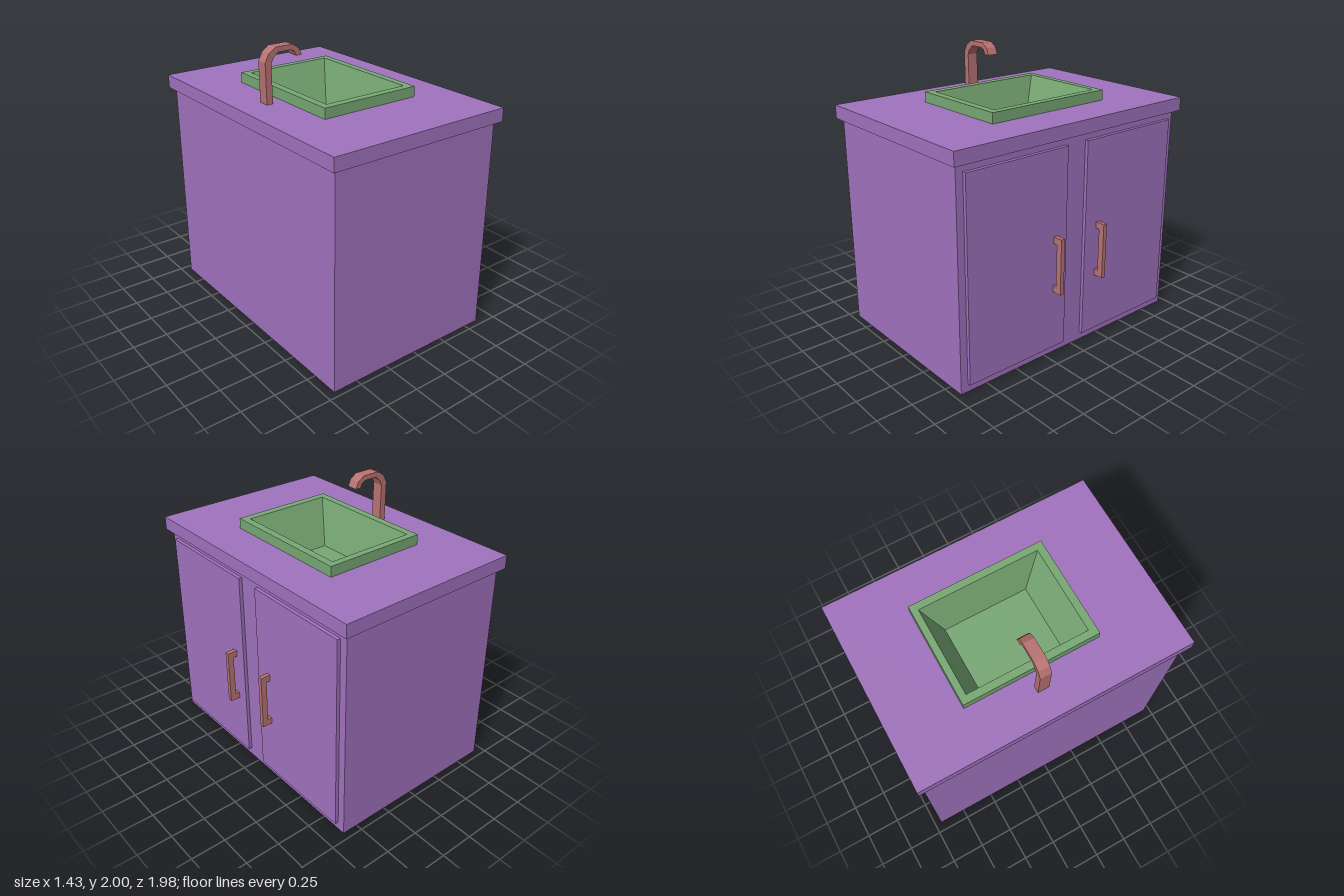
import * as THREE from 'three';

const purple = new THREE.MeshStandardMaterial({ color: 0xa072be });
const green = new THREE.MeshStandardMaterial({ color: 0x78a874 });
const red = new THREE.MeshStandardMaterial({ color: 0xb97272 });

function addMesh(parent, name, geometry, material) {
  const mesh = new THREE.Mesh(geometry, material);
  mesh.name = name;
  parent.add(mesh);
  return mesh;
}

// Box given by its minimum and maximum corners
function boxBetween([x0, y0, z0], [x1, y1, z1]) {
  return new THREE.BoxGeometry(x1 - x0, y1 - y0, z1 - z0)
    .translate((x0 + x1) / 2, (y0 + y1) / 2, (z0 + z1) / 2);
}

const toPoints = (list) => list.map(([x, y]) => new THREE.Vector2(x, y));

// Outline in the x-y plane, extruded from z0 to z1
function profile(points, z0, z1) {
  return new THREE.ExtrudeGeometry(new THREE.Shape(toPoints(points)), { depth: z1 - z0, bevelEnabled: false })
    .translate(0, 0, z0);
}

// Rectangular slab with a rectangular opening; rectangles are [x0, x1, z0, z1]
function frame(outer, hole, y0, y1) {
  const corners = ([x0, x1, z0, z1]) => toPoints([[x0, -z1], [x1, -z1], [x1, -z0], [x0, -z0]]);
  const shape = new THREE.Shape(corners(outer));
  shape.holes.push(new THREE.Path(corners(hole).reverse()));
  return new THREE.ExtrudeGeometry(shape, { depth: y1 - y0, bevelEnabled: false })
    .rotateX(-Math.PI / 2).translate(0, y0, 0);
}

// Skin over stacked rectangular rings [x0, x1, z0, z1, y], closed at the last ring
function rectLoft(rings) {
  const positions = [], index = [];
  for (const [x0, x1, z0, z1, y] of rings) {
    positions.push(x0, y, z0, x0, y, z1, x1, y, z1, x1, y, z0);
  }
  for (let i = 0; i < rings.length - 1; i++) {
    for (let j = 0; j < 4; j++) {
      const a = i * 4 + j, b = i * 4 + (j + 1) % 4;
      index.push(a, b, b + 4, a, b + 4, a + 4);
    }
  }
  const e = (rings.length - 1) * 4;
  index.push(e, e + 1, e + 2, e, e + 2, e + 3);
  const indexed = new THREE.BufferGeometry();
  indexed.setAttribute('position', new THREE.Float32BufferAttribute(positions, 3));
  indexed.setIndex(index);
  const geometry = indexed.toNonIndexed();
  geometry.computeVertexNormals();
  return geometry;
}

export function createModel() {
  const model = new THREE.Group();
  model.name = 'sinkCabinet';

  // Hollow cabinet: base board and four walls, leaving room for the basin
  const cabinet = new THREE.Group();
  cabinet.name = 'cabinet';
  model.add(cabinet);
  addMesh(cabinet, 'cabinetBase', boxBetween([-0.65, 0, -0.92], [0.58, 0.04, 0.92]), purple);
  addMesh(cabinet, 'cabinetWalls', frame([-0.685, 0.615, -0.95, 0.955], [-0.65, 0.58, -0.92, 0.92], 0, 1.535), purple);

  // Countertop with the basin opening
  addMesh(model, 'countertop', frame([-0.72, 0.655, -0.99, 0.99], [-0.37, 0.33, -0.485, 0.455], 1.535, 1.63), purple);

  // Basin: raised rim, sloping walls and floor
  addMesh(model, 'basin', rectLoft([
    [-0.393, 0.355, -0.503, 0.475, 1.63],
    [-0.393, 0.355, -0.503, 0.475, 1.703],
    [-0.34, 0.303, -0.455, 0.42, 1.703],
    [-0.26, 0.225, -0.33, 0.295, 1.38],
  ]), green);

  // Two doors, each with a bracket handle
  const handleOutline = [
    [0.635, 0.485], [0.713, 0.485], [0.713, 0.885], [0.635, 0.885],
    [0.635, 0.838], [0.67, 0.838], [0.67, 0.532], [0.635, 0.532],
  ];
  const doors = [
    { side: 'left', z: [-0.895, -0.085], handle: [-0.218, -0.188] },
    { side: 'right', z: [0.09, 0.902], handle: [0.172, 0.203] },
  ];
  for (const { side, z, handle } of doors) {
    addMesh(model, side + 'Door', boxBetween([0.61, 0.058, z[0]], [0.64, 1.48, z[1]]), purple);
    addMesh(model, side + 'Handle', profile(handleOutline, handle[0], handle[1]), red);
  }

  // Curved faucet
  addMesh(model, 'faucet', profile([
    [-0.479, 1.625], [-0.484, 1.894], [-0.468, 1.93], [-0.431, 1.965], [-0.33, 1.965],
    [-0.304, 1.952], [-0.288, 1.92], [-0.246, 1.92], [-0.267, 1.968], [-0.315, 2],
    [-0.447, 2], [-0.5, 1.965], [-0.53, 1.91], [-0.526, 1.625],
  ], -0.05, 0.03), red);

  return model;
}
